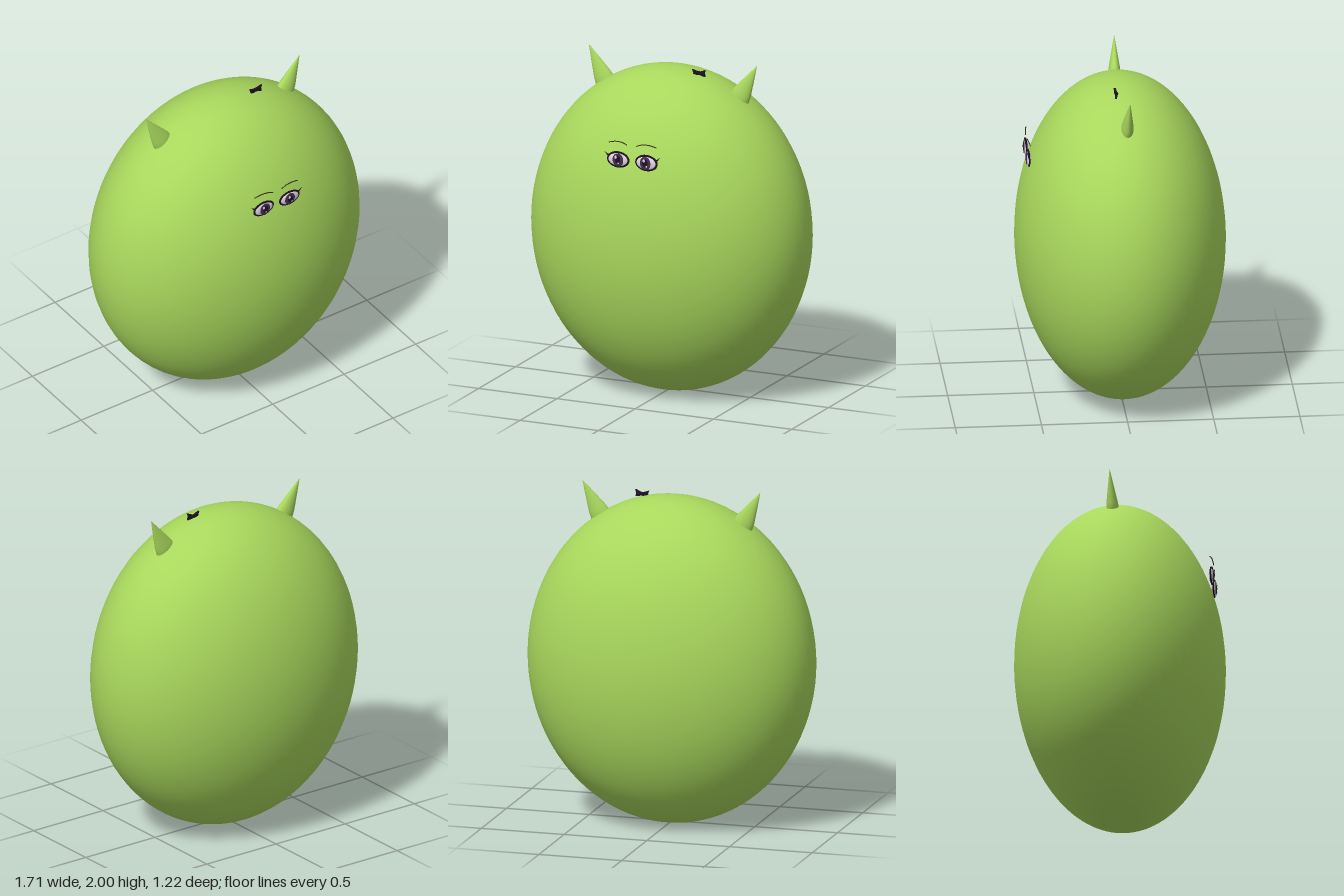
import * as THREE from 'three';

const mat = (name, color, side = THREE.FrontSide) => {
  const m = new THREE.MeshStandardMaterial({ color, side });
  m.name = name;
  return m;
};

export function createModel() {
  const model = new THREE.Group();
  model.name = 'hornedCreature';
  const green = mat('leafGreen', 0xa8d75c);
  const black = mat('plumBlack', 0x1c1222, THREE.DoubleSide);
  const white = mat('eyeWhite', 0xe6d6e2);
  const purple = mat('irisPurple', 0x45304f);
  const browColor = mat('browOlive', 0x34331c);

  const add = (parent, name, geometry, material, x = 0, y = 0, z = 0) => {
    const mesh = new THREE.Mesh(geometry, material);
    mesh.name = name;
    mesh.position.set(x, y, z);
    parent.add(mesh);
    return mesh;
  };
  const ellipsoid = (rx, ry, rz, w = 32, h = 20) =>
    new THREE.SphereGeometry(1, w, h).scale(rx, ry, rz);
  const tube = (points, r) => new THREE.TubeGeometry(
    new THREE.CatmullRomCurve3(points.map(p => new THREE.Vector3(...p))), 12, r, 6);

  // Egg-shaped body
  add(model, 'body', ellipsoid(0.853, 0.969, 0.61, 64, 48), green, 0, 0.972, 0);

  // Horn: flattened teardrop, origin at the tip
  const hornProfile = [[0, -0.31], [0.035, -0.3], [0.058, -0.27], [0.064, -0.235],
    [0.056, -0.19], [0.03, -0.1], [0.012, -0.04], [0, 0]]
    .map(([x, y]) => new THREE.Vector2(x, y));
  const hornGeometry = new THREE.LatheGeometry(hornProfile, 32).scale(1, 1, 0.58);

  for (const s of [1, -1]) {
    const side = s > 0 ? 'left' : 'right';
    const horn = add(model, side + 'Horn', hornGeometry, green, s * 0.538, 2, -0.013);
    horn.rotation.set(-0.04, 0, -s * 0.49);

    // Eye: dark rim, white lens, iris, pupil and highlights
    const eye = new THREE.Group();
    eye.name = side + 'Eye';
    eye.position.set(s * 0.09, 1.503, 0.538);
    model.add(eye);
    add(eye, 'eyeRim', ellipsoid(0.072, 0.049, 0.008), black);
    add(eye, 'eyeWhite', ellipsoid(0.064, 0.041, 0.014), white);
    add(eye, 'iris', ellipsoid(0.034, 0.04, 0.005), purple, -s * 0.003, 0, 0.0115);
    add(eye, 'pupil', ellipsoid(0.018, 0.025, 0.004), black, -s * 0.003, 0.002, 0.0145);
    add(eye, 'highlight', ellipsoid(0.008, 0.01, 0.002, 12, 8), white, -0.009, 0.016, 0.018);
    add(eye, 'smallHighlight', ellipsoid(0.005, 0.006, 0.002, 12, 8), white, 0.007, -0.018, 0.0165);

    // Upper lid line and outer lashes
    add(eye, 'lidLine', tube([[-s * 0.062, 0.02, 0.003], [-s * 0.03, 0.042, 0.005],
      [s * 0.02, 0.045, 0.005], [s * 0.064, 0.018, 0.003]], 0.004), black);
    const lash = new THREE.Shape([[0.052, 0.012], [0.07, 0.018], [0.089, 0.043],
      [0.066, 0.027], [0.05, 0.032]].map(([x, y]) => new THREE.Vector2(s * x, y)));
    add(eye, 'lashes', new THREE.ShapeGeometry(lash), black, 0, 0, 0.002);

    // Thin arched brow
    add(model, side + 'Brow', tube([[s * 0.03, 1.598, 0.547], [s * 0.06, 1.609, 0.544],
      [s * 0.105, 1.611, 0.54], [s * 0.152, 1.599, 0.532]], 0.003), browColor);
  }

  // Small bow on top: two flared loops, bent toward the front, and a knot
  const bow = new THREE.Group();
  bow.name = 'bow';
  bow.position.set(0.193, 1.927, 0.036);
  bow.rotation.z = 0.05;
  model.add(bow);
  for (const s of [1, -1]) {
    const loop = new THREE.Shape([[0, 0.007], [0.018, 0.013], [0.043, 0.022], [0.036, 0.003],
      [0.039, -0.019], [0.016, -0.014], [0, -0.008]].map(([x, y]) => new THREE.Vector2(s * x, y)));
    const mesh = add(bow, s > 0 ? 'leftLoop' : 'rightLoop',
      new THREE.ExtrudeGeometry(loop, { depth: 0.012, bevelEnabled: false }), black, 0, 0, -0.004);
    mesh.rotation.y = -s * 0.15;
  }
  add(bow, 'knot', ellipsoid(0.009, 0.011, 0.011, 16, 10), black, 0, 0, 0.002);

  return model;
}
